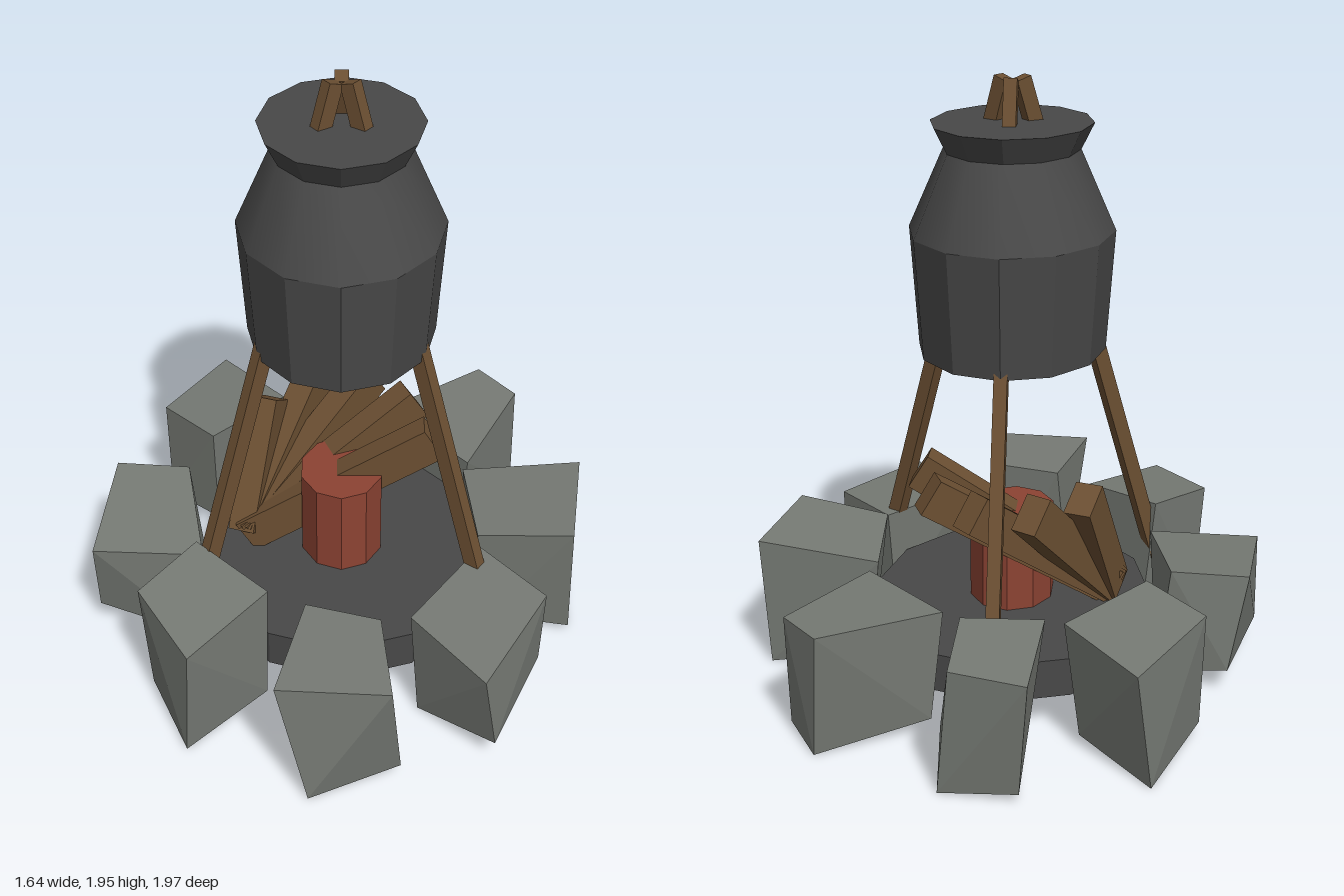
import * as THREE from 'three';
import { toCreasedNormals } from 'three/addons/utils/BufferGeometryUtils.js';
import { ConvexGeometry } from 'three/addons/geometries/ConvexGeometry.js';

const mat = (name, color) => {
  const m = new THREE.MeshStandardMaterial({ color });
  m.name = name;
  return m;
};

export function createModel() {
  const iron = mat('dark iron', 0x484848);
  const stone = mat('grey stone', 0x767a74);
  const wood = mat('brown wood', 0x6b4f32);
  const ember = mat('ember red', 0x8c4333);
  const model = new THREE.Group();
  const DEPTH = 1.22; // round parts are stretched front to back

  const add = (name, geometry, material, parent = model) => {
    const mesh = new THREE.Mesh(geometry, material);
    mesh.name = name;
    parent.add(mesh);
    return mesh;
  };
  const group = (name) => {
    const g = new THREE.Group();
    g.name = name;
    model.add(g);
    return g;
  };
  // Faceted oval turning; a larger crease angle smooths the sides
  const turned = (profile, sides, crease = 0.1) => {
    const g = new THREE.LatheGeometry(profile.map((p) => new THREE.Vector2(...p)), sides);
    g.scale(1, 1, DEPTH);
    return toCreasedNormals(g, crease);
  };
  // Square timber running between two points
  const beam = (name, a, b, w, h, parent) => {
    const from = new THREE.Vector3(...a), to = new THREE.Vector3(...b);
    const mesh = add(name, new THREE.BoxGeometry(w, h, from.distanceTo(to)), wood, parent);
    mesh.position.addVectors(from, to).multiplyScalar(0.5);
    mesh.lookAt(to);
  };

  // Cooking pot: faceted lower body, smooth shoulder, flared rim with flat lid
  const pot = group('pot');
  add('potBody', turned([[0, 1.018], [0.3, 1.1], [0.327, 1.486]], 12), iron, pot);
  add('potShoulder', turned([[0.327, 1.486], [0.215, 1.74]], 12, 0.7), iron, pot);
  add('potRim', turned([[0.215, 1.74], [0.256, 1.823], [0, 1.823]], 12), iron, pot);

  // Ash bed and glowing core
  add('ashBed', turned([[0, 0.12], [0.462, 0.12], [0.462, 0.245], [0, 0.245]], 12), iron);
  const core = turned([[0, 0.2], [0.14, 0.2], [0.14, 0.545], [0, 0.545]], 10);
  add('emberCore', core, ember);

  // Tripod poles
  const tripod = group('tripod');
  for (const [x, z] of [[0.515, 0.365], [-0.515, 0.365], [0, -0.72]]) {
    beam('tripodPole', [x * 0.05, 1.955, z * 0.04], [x, 0.07, z], 0.042, 0.05, tripod);
  }

  // Firewood fanning out from one shared low point
  const firewood = group('firewood');
  for (let i = 0; i < 5; i++) {
    const a = (i * Math.PI) / 5;
    const tip = [0.305 * Math.cos(a), 0.67, -0.39 * Math.sin(a)];
    beam('firewoodLog', [-0.325, 0.28, 0], tip, 0.09, 0.125, firewood);
  }

  // Ring of rough stones: top outline (x, z), top height and slopes,
  // base height and slopes, base scale, twist and shift
  const stones = [
    { top: [[-0.14, -1], [0.095, -0.94], [0.095, -0.64], [-0.16, -0.63]],
      high: [0.43, 0, 0.08], low: [0.05, -0.05, 0.08], base: [1.02, 0.1, 0.05, 0.04] },
    { top: [[0.51, -0.78], [0.635, -0.63], [0.44, -0.23], [0.16, -0.54]],
      high: [0.41, 0, -0.05], low: [0.05, 0, 0.12], base: [0.9, -0.1, 0.01, 0.01] },
    { top: [[0.42, -0.18], [0.82, -0.16], [0.76, 0.245], [0.45, 0.195]],
      high: [0.43, 0.12, 0.02], low: [0.04, -0.08, 0], base: [0.85, 0.08, 0.02, 0] },
    { top: [[0.455, 0.23], [0.655, 0.46], [0.44, 0.84], [0.22, 0.56]],
      high: [0.38, 0, -0.05], low: [0.07, 0.2, 0.08], base: [0.94, 0.1, 0.01, 0] },
    { top: [[-0.11, 0.57], [0.125, 0.64], [0.155, 0.97], [-0.195, 0.95]],
      high: [0.44, 0, 0], low: [0.05, 0.1, 0], base: [0.85, 0.35, 0.01, 0] },
    { top: [[-0.47, 0.28], [-0.23, 0.5], [-0.465, 0.78], [-0.64, 0.5]],
      high: [0.43, 0, -0.1], low: [0.04, 0, -0.07], base: [0.92, -0.12, 0.01, 0.01] },
    { top: [[-0.78, -0.2], [-0.53, -0.18], [-0.455, 0.245], [-0.82, 0.23]],
      high: [0.39, 0, -0.1], low: [0.07, -0.15, 0], base: [0.95, -0.15, 0.02, -0.02] },
    { top: [[-0.445, -0.88], [-0.215, -0.6], [-0.455, -0.32], [-0.64, -0.52]],
      high: [0.42, 0, 0.08], low: [0.05, 0, 0.05], base: [0.88, 0.1, -0.02, 0.01] },
  ];
  const ring = group('stoneRing');
  for (const { top, high, low, base } of stones) {
    const cx = top.reduce((s, p) => s + p[0], 0) / 4;
    const cz = top.reduce((s, p) => s + p[1], 0) / 4;
    const [scale, twist, shiftX, shiftZ] = base;
    const c = Math.cos(twist) * scale, s = Math.sin(twist) * scale;
    const points = [];
    for (const [x, z] of top) {
      const dx = x - cx, dz = z - cz;
      points.push(new THREE.Vector3(x, high[0] + dx * high[1] + dz * high[2], z));
      points.push(new THREE.Vector3(cx + dx * c + dz * s + shiftX,
        Math.max(0, low[0] + dx * low[1] + dz * low[2]), cz - dx * s + dz * c + shiftZ));
    }
    // Keep one corner of each base on the ground
    points.reduce((a, b) => (b.y < a.y ? b : a)).y = 0.01;
    add('stone', new ConvexGeometry(points), stone, ring);
  }
  return model;
}
